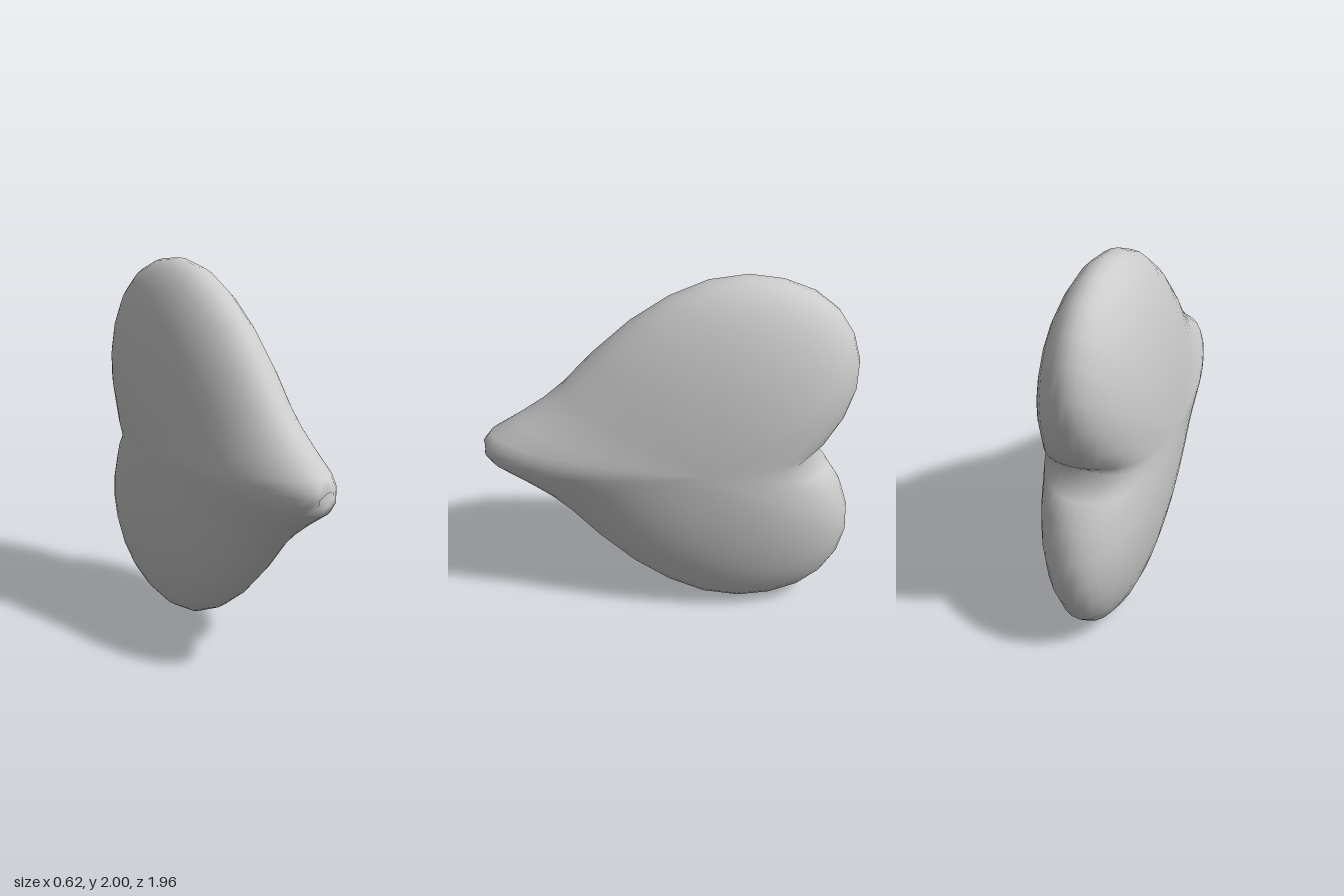
import * as THREE from 'three';
import { mergeVertices } from 'three/addons/utils/BufferGeometryUtils.js';

// Half outline of the heart as [z, height above the middle], tip to notch
const OUTLINE = [
  [0.98, 0], [0.98, 0.035], [0.94, 0.09], [0.8, 0.18], [0.66, 0.28], [0.55, 0.38],
  [0.4, 0.55], [0.2, 0.74], [0, 0.88], [-0.2, 0.97], [-0.4, 1.0], [-0.58, 0.975],
  [-0.74, 0.91], [-0.86, 0.81], [-0.94, 0.68], [-0.98, 0.53], [-0.975, 0.38],
  [-0.93, 0.23], [-0.85, 0.1], [-0.72, 0],
];
const HALF = OUTLINE.length - 1;
const AROUND = HALF * 2;
const ROWS = 24;
const CENTRE_Z = -0.2;
const HALF_THICKNESS = 0.31;

// Sphere with its poles on the two flat sides, reshaped into a puffed heart
function heartGeometry() {
  const geo = new THREE.SphereGeometry(1, AROUND, ROWS);
  const pos = geo.attributes.position;
  for (let row = 0, i = 0; row <= ROWS; row++) {
    const angle = (row / ROWS) * Math.PI;
    const s = Math.sin(angle);
    const side = Math.sign(ROWS / 2 - row);
    for (let col = 0; col <= AROUND; col++, i++) {
      const k = col <= HALF ? col : AROUND - col;
      let [z, y] = OUTLINE[k];
      // The crease fades out towards the middle of each flat side
      const full = k >= HALF - 2 ? -0.93 : z;
      z = THREE.MathUtils.lerp(full, z, s * s);
      // Dimple of the open mouth at the tip
      if (k === 0 && row === ROWS / 2) z = 0.91;
      // The lobes are a little fuller than the pointed end
      const power = 2 + 0.6 * Math.max(0, -(z - CENTRE_Z));
      const x = side * HALF_THICKNESS * Math.sqrt(Math.max(0, 1 - s ** power));
      const up = col <= HALF ? -1 : 1;
      pos.setXYZ(i, x, 1 + up * y * s, CENTRE_Z + (z - CENTRE_Z) * s);
    }
  }
  // Weld the seam and poles so that shading is smooth all round
  geo.deleteAttribute('uv');
  geo.deleteAttribute('normal');
  const welded = mergeVertices(geo, 1e-4);
  welded.computeVertexNormals();
  return welded;
}

export function createModel() {
  const group = new THREE.Group();
  group.name = 'heartBalloon';
  const body = new THREE.Mesh(
    heartGeometry(),
    new THREE.MeshStandardMaterial({ color: 0xcccccc }),
  );
  body.name = 'balloonBody';
  group.add(body);
  return group;
}
